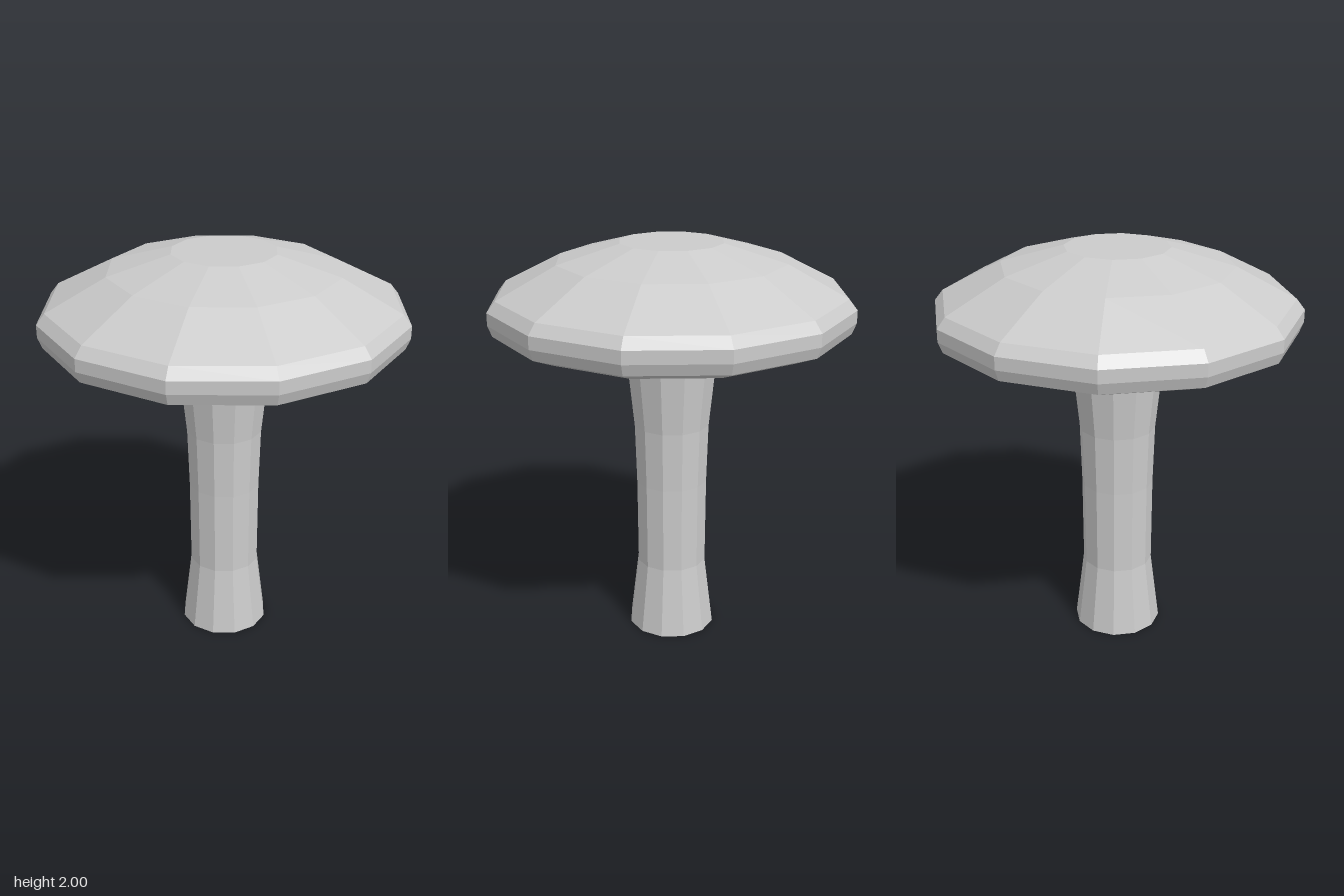
import * as THREE from 'three';

const SIDES = 12;

export function createModel() {
  const model = new THREE.Group();
  const material = new THREE.MeshStandardMaterial({ color: 0xcccccc, flatShading: true });

  // Faceted solid of revolution; profile is [radius, height] from bottom to top
  const turned = (name, profile) => {
    const points = profile.map(([r, y]) => new THREE.Vector2(r, y));
    const mesh = new THREE.Mesh(new THREE.LatheGeometry(points, SIDES), material);
    mesh.name = name;
    model.add(mesh);
  };

  // Waisted stem with a closed foot
  turned('stem', [
    [0, 0], [0.22, 0], [0.176, 0.36], [0.179, 0.8], [0.188, 1.1], [0.225, 1.46],
  ]);

  // Wide cap: shallow underside, bevelled rim, domed top with a flat centre
  turned('cap', [
    [0, 1.46], [0.225, 1.46], [0.435, 1.535], [0.74, 1.56], [0.855, 1.607], [0.875, 1.66],
    [0.875, 1.72], [0.835, 1.77], [0.55, 1.917], [0.25, 2], [0, 2],
  ]);

  return model;
}
